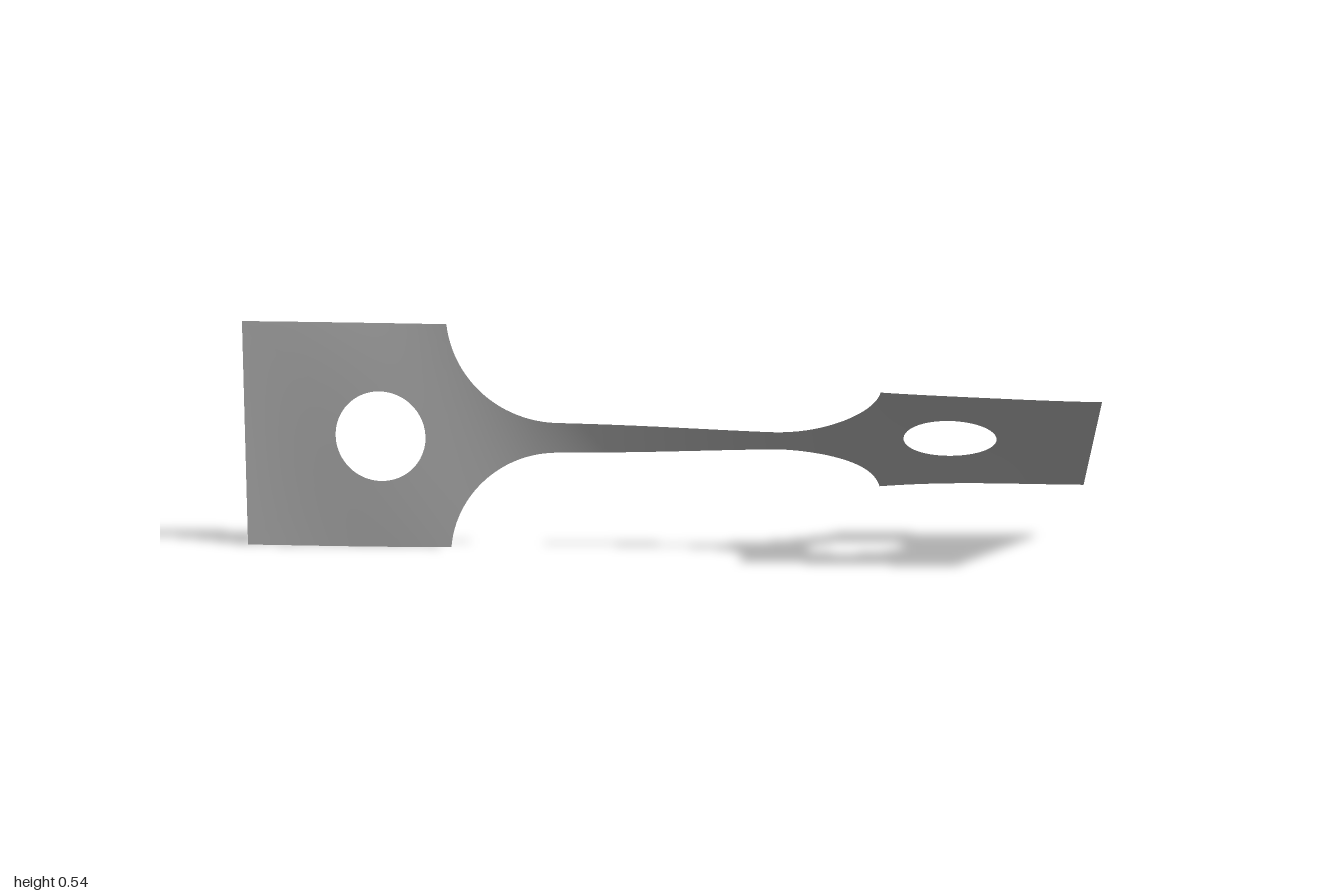
import * as THREE from 'three';
import { mergeVertices } from 'three/addons/utils/BufferGeometryUtils.js';

const HALF = 0.27;        // half height of the end plates
const BAR = 0.0375;       // half height of the narrow bar
const BAR_END = 0.25;     // where the fillets begin
const FILLET = 0.26;      // fillet radius
const HOLE = { x: 0.671, r: 0.108 };
const ROWS = 24;
const ARC = Math.acos((BAR + FILLET - HALF) / FILLET);
const EDGE = BAR_END + FILLET * Math.sin(ARC);   // inner edge of the plates

// Twist the flat strip about the x axis, with a slight bulge in each plate
function twist(x, v) {
  const a = THREE.MathUtils.degToRad(30 + 29.75 * Math.tanh(2.8 * x) / Math.tanh(2.8));
  const out = Math.max(0, (Math.abs(x) - 0.3) / 0.7);
  const bulge = Math.sign(x) * 0.013 * Math.sin(Math.PI * out) ** 2 * (1 - 0.7 * (v / HALF) ** 2);
  return [x, HALF + v * Math.cos(a) + bulge * Math.sin(a), v * Math.sin(a) - bulge * Math.cos(a)];
}

// Grid of quads from point(i, j) giving flat [x, v]
function addGrid(out, cols, rows, point) {
  const p = (i, j) => twist(...point(i, j));
  for (let i = 0; i < cols; i++) {
    for (let j = 0; j < rows; j++) {
      const a = p(i, j), b = p(i + 1, j), c = p(i + 1, j + 1), d = p(i, j + 1);
      out.push(...a, ...b, ...c, ...a, ...c, ...d);
    }
  }
}

// Bar with a concave fillet at each end
function addBar(out) {
  const right = [];
  for (let i = 0; i <= 16; i++) right.push([BAR_END * i / 16, BAR]);
  for (let i = 1; i <= 24; i++) {
    const a = ARC * i / 24;
    right.push([BAR_END + FILLET * Math.sin(a), BAR + FILLET * (1 - Math.cos(a))]);
  }
  const stations = [...right.slice(1).reverse().map(([x, h]) => [-x, h]), ...right];
  addGrid(out, stations.length - 1, ROWS, (i, j) => {
    const [x, h] = stations[i];
    return [x, h * (2 * j / ROWS - 1)];
  });
}

// Rectangular plate meshed in rings between its hole and its outline
function addPlate(out, side) {
  const x0 = side < 0 ? -1 : EDGE, x1 = side < 0 ? -EDGE : 1;
  const corners = [[x0, -HALF], [x1, -HALF], [x1, HALF], [x0, HALF]];
  const outline = [];
  for (let k = 0; k < 4; k++) {
    const [ax, av] = corners[k], [bx, bv] = corners[(k + 1) % 4];
    for (let j = 0; j < ROWS; j++) {
      const t = j / ROWS;
      outline.push([ax + (bx - ax) * t, av + (bv - av) * t]);
    }
  }
  const rings = 10, n = outline.length, cx = side * HOLE.x;
  addGrid(out, rings, n, (i, j) => {
    const [x, v] = outline[j % n];
    const a = Math.atan2(v, x - cx), t = i / rings;
    const hx = cx + HOLE.r * Math.cos(a), hv = HOLE.r * Math.sin(a);
    return [hx + (x - hx) * t, hv + (v - hv) * t];
  });
}

export function createModel() {
  const steel = new THREE.MeshStandardMaterial({ color: 0xc0c0c0, side: THREE.DoubleSide });
  steel.name = 'steel grey';

  const positions = [];
  addPlate(positions, -1);
  addBar(positions);
  addPlate(positions, 1);

  // One welded sheet so shading runs smoothly across the joins
  let geometry = new THREE.BufferGeometry();
  geometry.setAttribute('position', new THREE.Float32BufferAttribute(positions, 3));
  geometry = mergeVertices(geometry, 1e-5);
  geometry.computeVertexNormals();

  const sheet = new THREE.Mesh(geometry, steel);
  sheet.name = 'twistedSheet';
  const group = new THREE.Group();
  group.name = 'twistedTestStrip';
  group.add(sheet);
  return group;
}
